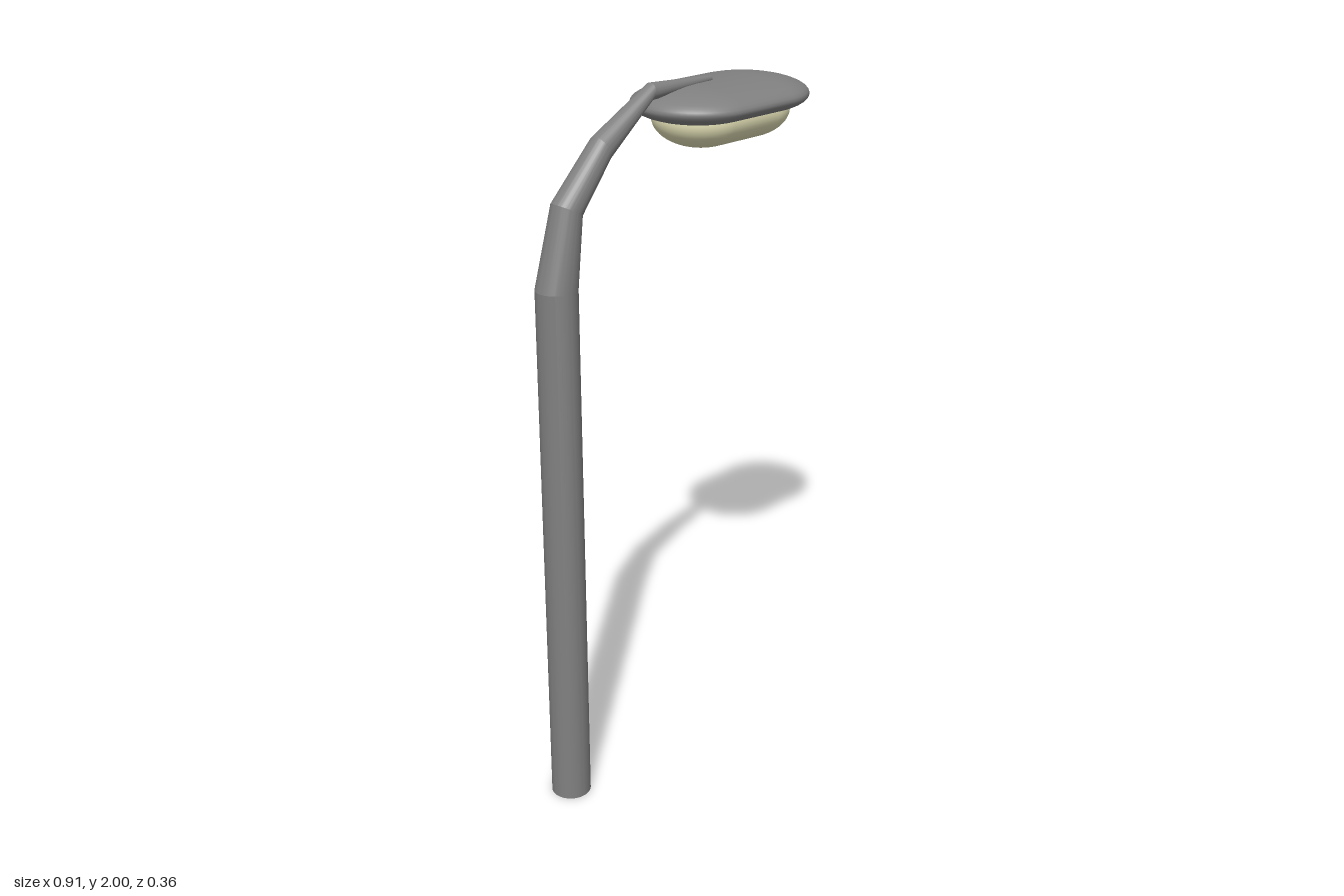
import * as THREE from 'three';
import { toCreasedNormals } from 'three/addons/utils/BufferGeometryUtils.js';

const metal = new THREE.MeshStandardMaterial({ color: 0x808080 });
const glass = new THREE.MeshStandardMaterial({ color: 0xdedbb2 });

// Rings of the post from base to tip: centre x, centre y, radius, tilt in degrees
const RINGS = [
  [-0.401, 0, 0.056, 0],
  [-0.401, 1.525, 0.056, 0],
  [-0.36, 1.725, 0.043, -28],
  [-0.241, 1.86, 0.036, -62],
  [-0.068, 1.977, 0.023, -97],
  [0.155, 1.98, 0.009, -90],
];

// Post and bent arm: one cylinder whose rows are moved onto the rings
function postGeometry() {
  const last = RINGS.length - 1;
  const geo = new THREE.CylinderGeometry(1, 1, 1, 48, last);
  const pos = geo.attributes.position;
  for (let i = 0; i < pos.count; i++) {
    const [cx, cy, r, tilt] = RINGS[Math.round((pos.getY(i) + 0.5) * last)];
    const t = THREE.MathUtils.degToRad(tilt);
    const across = pos.getX(i) * r;
    pos.setXYZ(i, cx + across * Math.cos(t), cy + across * Math.sin(t), pos.getZ(i) * r);
  }
  return toCreasedNormals(geo, 0.2);
}

// Elongated dome: an elliptical lathe split in half along x and pulled apart
function stadiumDome(radius, height, stretch, fromAngle, toAngle) {
  const steps = 20, segments = 64, profile = [];
  for (let j = 0; j <= steps; j++) {
    const a = THREE.MathUtils.lerp(fromAngle, toAngle, j / steps);
    profile.push(new THREE.Vector2(Math.max(0, radius * Math.cos(a)), height * Math.sin(a)));
  }
  const start = Math.PI / segments;
  const geo = new THREE.LatheGeometry(profile, segments, start);
  const pos = geo.attributes.position;
  for (let i = 0; i < pos.count; i++) {
    const column = Math.floor(i / profile.length);
    const side = Math.sign(Math.sin(start + (column / segments) * Math.PI * 2));
    pos.setX(i, pos.getX(i) + side * stretch);
  }
  return geo;
}

function addPart(group, name, geometry, material, x, y, z) {
  const mesh = new THREE.Mesh(geometry, material);
  mesh.name = name;
  mesh.position.set(x, y, z);
  group.add(mesh);
}

export function createModel() {
  const group = new THREE.Group();
  group.name = 'streetLamp';
  const quarter = Math.PI / 2;

  addPart(group, 'postAndArm', postGeometry(), metal, 0, 0, -0.008);
  addPart(group, 'lampHousing', stadiumDome(0.179, 0.049, 0.089, -quarter, quarter), metal, 0.187, 1.928, 0);
  addPart(group, 'lampGlass', stadiumDome(0.132, 0.079, 0.079, -quarter, quarter * 0.3), glass, 0.19, 1.888, 0);
  return group;
}
